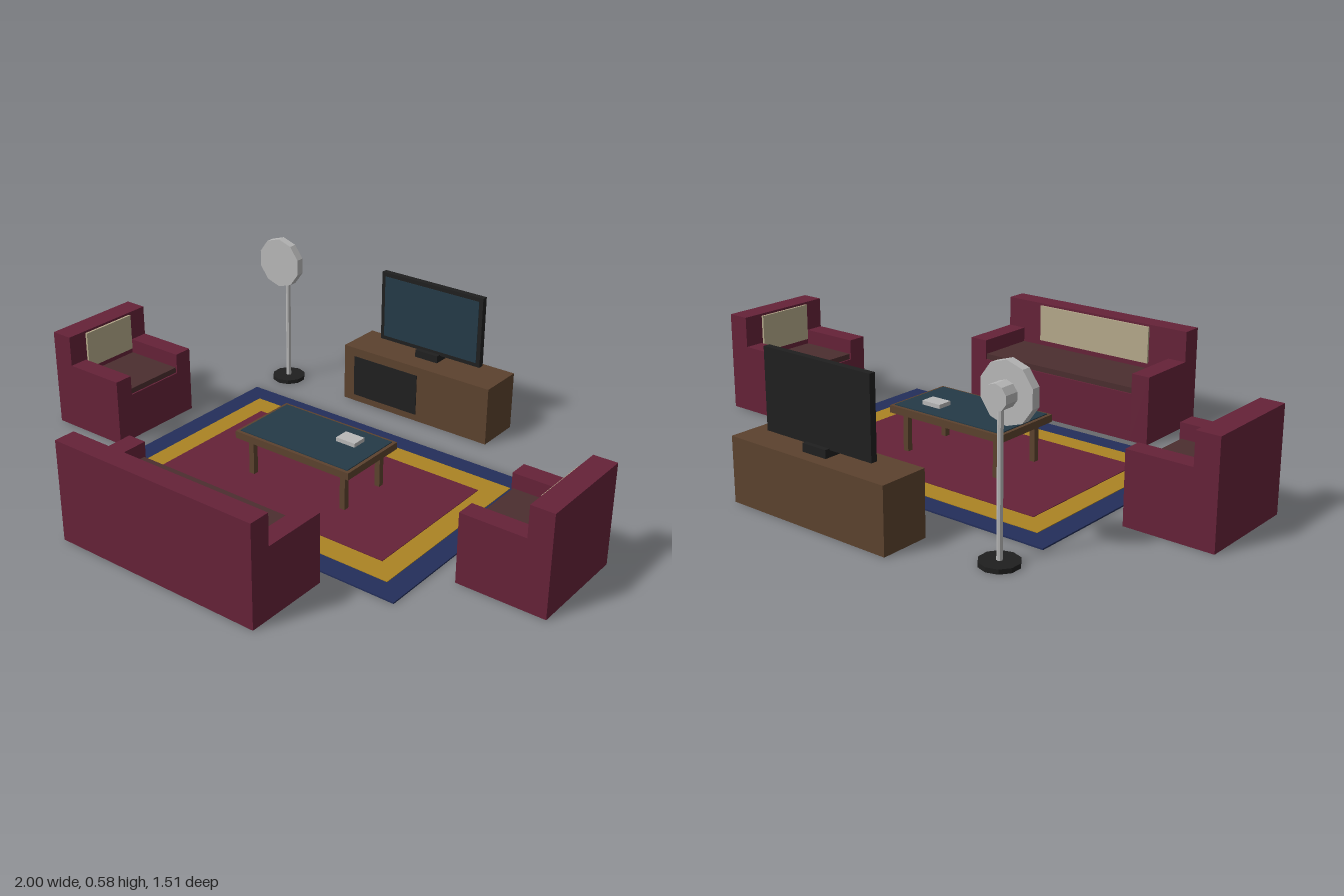
import * as THREE from 'three';

const mat = (name, color) => Object.assign(new THREE.MeshStandardMaterial({ color, flatShading: true }), { name });

export function createModel() {
  const red = mat('burgundy', 0x652238);
  const seatBrown = mat('seat brown', 0x4b2e2f);
  const cream = mat('cream', 0xb5a98a);
  const blue = mat('navy', 0x232e5a);
  const gold = mat('gold', 0xab8323);
  const wood = mat('wood', 0x5c422e);
  const black = mat('black', 0x1f1f1f);
  const glass = mat('dark glass', 0x243a47);
  const grey = mat('light grey', 0xb8b8b8);

  const model = new THREE.Group();
  const group = (name, x = 0, z = 0) => {
    const g = new THREE.Group();
    g.name = name;
    g.position.set(x, 0, z);
    model.add(g);
    return g;
  };
  // box given by its minimum and maximum on each axis
  const box = (parent, name, m, [x0, x1], [y0, y1], [z0, z1]) => {
    const mesh = new THREE.Mesh(new THREE.BoxGeometry(x1 - x0, y1 - y0, z1 - z0), m);
    mesh.position.set((x0 + x1) / 2, (y0 + y1) / 2, (z0 + z1) / 2);
    mesh.name = name;
    parent.add(mesh);
    return mesh;
  };
  const disc = (parent, name, m, r, h, sides, x, y, z) => {
    const mesh = new THREE.Mesh(new THREE.CylinderGeometry(r, r, h, sides), m);
    mesh.position.set(x, y, z);
    mesh.name = name;
    parent.add(mesh);
    return mesh;
  };

  // sofa and armchairs: width w, depth d, facing local +z
  const couch = (name, x, z, turn, w, d, back, padW) => {
    const g = group(name, x, z);
    g.rotation.y = turn;
    const hw = w / 2, hd = d / 2, arm = 0.068, rear = -hd + back;
    box(g, 'backrest', red, [-hw, hw], [0, 0.348], [-hd, rear]);
    for (const s of [-1, 1]) {
      const a = [s * hw, s * (hw - arm)].sort((p, q) => p - q);
      box(g, 'armrest', red, a, [0, 0.24], [rear, hd]);
    }
    const inner = [-hw + arm, hw - arm];
    box(g, 'seatBase', red, inner, [0, 0.168], [rear, hd]);
    box(g, 'seatCushion', seatBrown, inner, [0.168, 0.188], [rear, hd - 0.006]);
    box(g, 'backPad', cream, [-padW / 2, padW / 2], [0.208, 0.34], [rear, rear + 0.008]);
  };
  couch('sofa', 0, 0.603, Math.PI, 0.768, 0.302, 0.074, 0.47);
  couch('rightArmchair', -0.848, 0.022, Math.PI / 2, 0.365, 0.304, 0.08, 0.215);
  couch('leftArmchair', 0.848, 0.022, -Math.PI / 2, 0.365, 0.304, 0.08, 0.215);

  // rug: stacked thin layers
  const rug = group('rug', 0, -0.017);
  [['rugBorder', blue, 0.617, 0.423], ['rugBand', gold, 0.542, 0.35], ['rugField', red, 0.467, 0.27]]
    .forEach(([name, m, x, z], i) =>
      box(rug, name, m, [-x, x], [i ? 0.004 : 0, 0.005 + i * 0.002], [-z, z]));

  // coffee table with glass inlay and a magazine
  const table = group('coffeeTable', 0, -0.017);
  box(table, 'tableTop', wood, [-0.233, 0.233], [0.142, 0.167], [-0.133, 0.133]);
  box(table, 'tableGlass', glass, [-0.221, 0.221], [0.165, 0.17], [-0.121, 0.121]);
  for (const x of [-0.19, 0.19])
    for (const z of [-0.095, 0.095])
      box(table, 'tableLeg', wood, [x - 0.01, x + 0.01], [0.004, 0.145], [z - 0.01, z + 0.01]);
  box(table, 'magazine', grey, [0.075, 0.15], [0.169, 0.184], [-0.066, -0.012]);

  // television stand
  const stand = group('televisionStand');
  box(stand, 'cabinet', wood, [-0.31, 0.308], [0, 0.213], [-0.758, -0.587]);
  box(stand, 'cabinetPanel', black, [-0.265, 0.012], [0.025, 0.18], [-0.589, -0.585]);

  // television
  const tv = group('television');
  box(tv, 'televisionFoot', black, [-0.047, 0.047], [0.213, 0.24], [-0.716, -0.66]);
  box(tv, 'televisionFrame', black, [-0.213, 0.213], [0.236, 0.497], [-0.7, -0.678]);
  box(tv, 'televisionScreen', glass, [-0.198, 0.198], [0.251, 0.482], [-0.68, -0.676]);

  // standing lamp with a round head facing forward
  const lamp = group('floorLamp', -0.582, -0.59);
  disc(lamp, 'lampBase', black, 0.062, 0.015, 10, 0, 0.0075, 0);
  disc(lamp, 'lampPole', grey, 0.009, 0.45, 8, 0, 0.24, 0);
  disc(lamp, 'lampHousing', grey, 0.039, 0.048, 10, 0, 0.485, 0).rotation.x = Math.PI / 2;
  disc(lamp, 'lampHead', grey, 0.092, 0.029, 10, 0, 0.486, 0.038).rotation.x = Math.PI / 2;

  return model;
}
